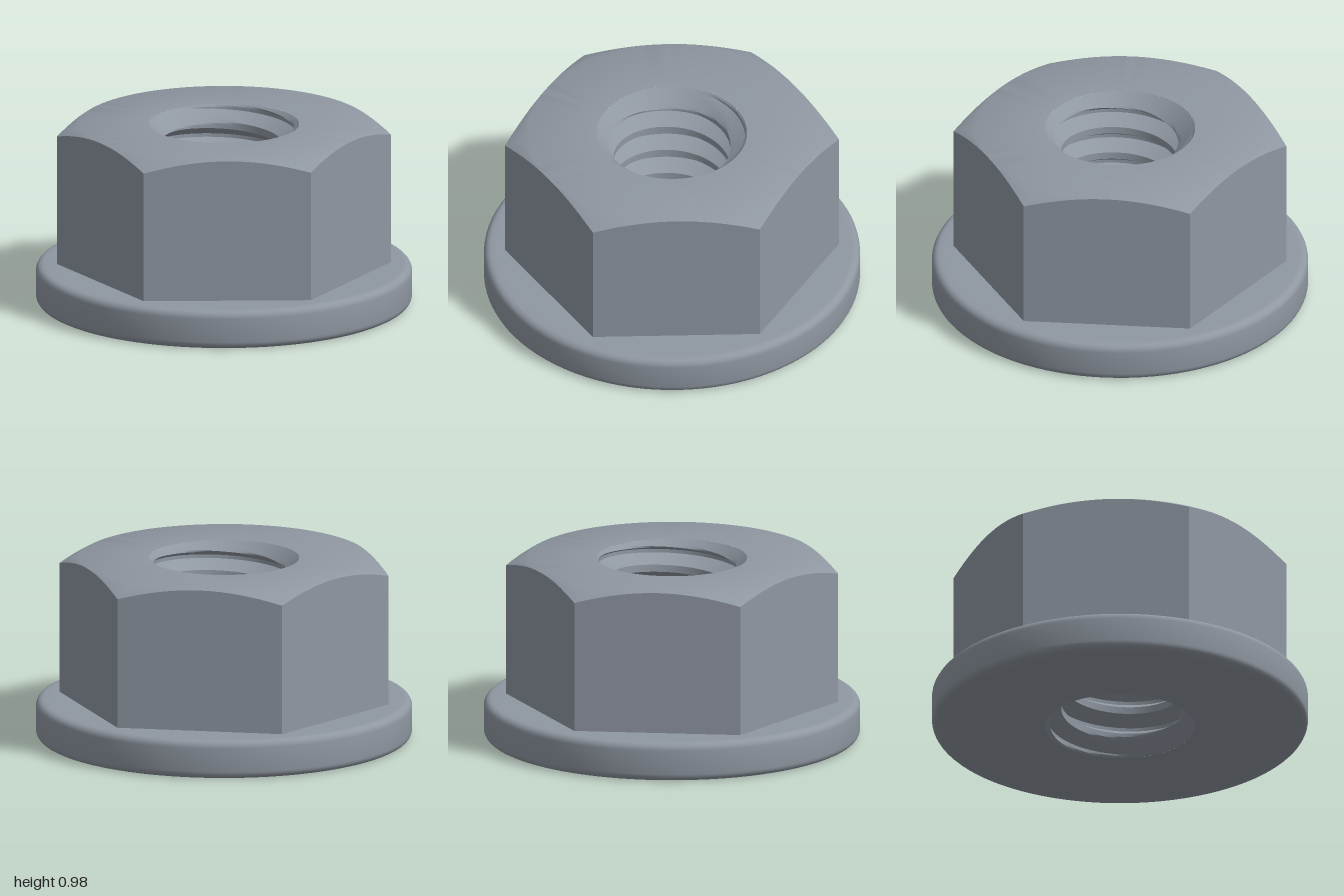
import * as THREE from 'three';
import { toCreasedNormals } from 'three/addons/utils/BufferGeometryUtils.js';

const TOP = 0.975, FLANGE_TOP = 0.208;
const APOTHEM = 0.769, HEX_TURN = -0.205, CHAMFER_SLOPE = 0.55;
const MOUTH = 0.4, MINOR = 0.312, MAJOR = 0.39, PITCH = 0.155;

// Point at an angle (anticlockwise seen from above), radius and height
const polar = (a, r, y) => new THREE.Vector3(Math.cos(a) * r, y, -Math.sin(a) * r);

// Skin a list of rings, leaving out collapsed triangles
function skin(rings, crease) {
  const positions = [];
  const triangle = new THREE.Triangle();
  const add = (a, b, c) => {
    if (triangle.set(a, b, c).getArea() < 1e-8) return;
    for (const p of [a, b, c]) positions.push(p.x, p.y, p.z);
  };
  for (let i = 0; i < rings.length - 1; i++) {
    for (let j = 0; j < rings[i].length - 1; j++) {
      const a = rings[i][j], b = rings[i][j + 1];
      const c = rings[i + 1][j + 1], d = rings[i + 1][j];
      add(a, b, c);
      add(a, c, d);
    }
  }
  const geometry = new THREE.BufferGeometry();
  geometry.setAttribute('position', new THREE.Float32BufferAttribute(positions, 3));
  return toCreasedNormals(geometry, crease);
}

function ring(segments, start, pointAt) {
  return Array.from({ length: segments + 1 }, (_, j) => pointAt(start + (j / segments) * Math.PI * 2));
}

// Hexagon walls, conical corner chamfer and flat top
function hexGeometry() {
  const sector = Math.PI / 3;
  const edge = (a) => {
    const turn = (((a - HEX_TURN) % sector) + sector) % sector;
    return APOTHEM / Math.cos(turn - sector / 2);
  };
  const make = (pointAt) => ring(96, HEX_TURN, pointAt);
  return skin([
    make((a) => polar(a, edge(a), FLANGE_TOP - 0.01)),
    make((a) => polar(a, edge(a), TOP - (edge(a) - APOTHEM) * CHAMFER_SLOPE)),
    make((a) => polar(a, APOTHEM, TOP)),
    make((a) => polar(a, MOUTH, TOP)),
  ], 0.6);
}

// Washer flange with rounded rims
function flangeGeometry() {
  const fillet = 0.04, points = [new THREE.Vector2(MOUTH, 0), new THREE.Vector2(0.93, 0)];
  for (const [y, from] of [[fillet, -Math.PI / 2], [FLANGE_TOP - fillet, 0]]) {
    for (let i = 0; i <= 5; i++) {
      const a = from + (i / 5) * Math.PI / 2;
      points.push(new THREE.Vector2(1 - fillet + Math.cos(a) * fillet, y + Math.sin(a) * fillet));
    }
  }
  points.push(new THREE.Vector2(0.93, FLANGE_TOP), new THREE.Vector2(0.6, FLANGE_TOP));
  return toCreasedNormals(new THREE.LatheGeometry(points, 96), 0.6);
}

// Right-hand threaded bore, countersunk at both ends; rings follow the helix
function boreGeometry() {
  const grooveY = (a) => 0.965 + PITCH * (a / (Math.PI * 2) - 5 / 12);
  const radius = (a, y) => {
    const turns = (y - grooveY(a)) / PITCH;
    const offset = Math.abs(turns - Math.round(turns));
    const flank = THREE.MathUtils.clamp((0.375 - offset) / 0.3125, 0, 1);
    const thread = MINOR + (MAJOR - MINOR) * flank;
    return Math.max(thread, MOUTH - (TOP - y) * 1.1, MOUTH - y * 1.1);
  };
  const rings = [];
  for (let step = 24; step >= -128; step--) {
    rings.push(ring(80, 0, (a) => {
      const y = THREE.MathUtils.clamp(grooveY(a) + (PITCH * step) / 16, 0, TOP);
      return polar(a, radius(a, y), y);
    }));
  }
  return skin(rings, 0.5);
}

export function createModel() {
  const steel = new THREE.MeshStandardMaterial({ color: 0x8f97a1 });
  steel.name = 'steel grey';
  const group = new THREE.Group();
  group.name = 'flangeNut';
  const parts = { hexBody: hexGeometry(), flange: flangeGeometry(), threadedBore: boreGeometry() };
  for (const [name, geometry] of Object.entries(parts)) {
    const mesh = new THREE.Mesh(geometry, steel);
    mesh.name = name;
    group.add(mesh);
  }
  return group;
}
